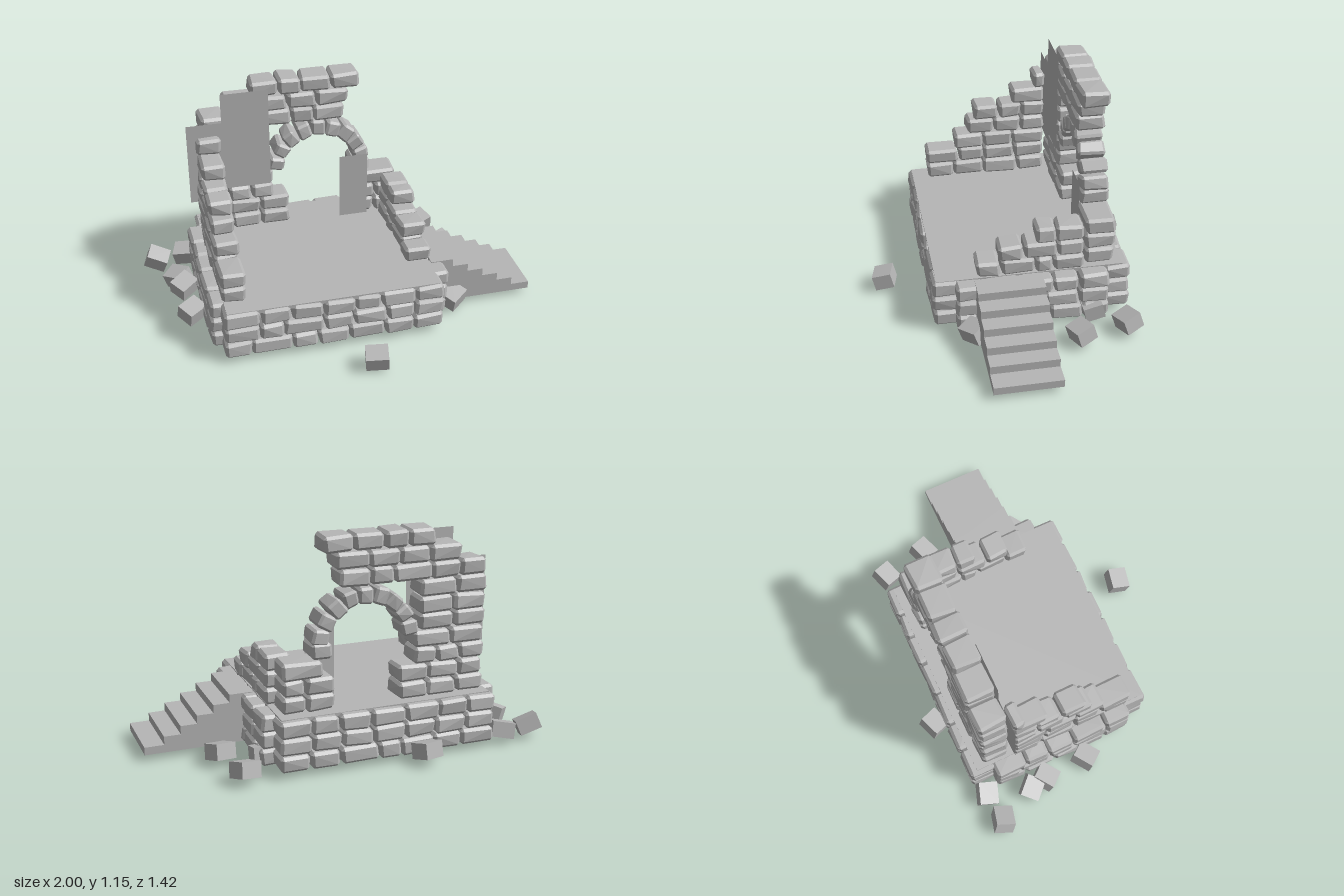
import * as THREE from 'three';
import { ConvexGeometry } from 'three/addons/geometries/ConvexGeometry.js';

const stone = new THREE.MeshStandardMaterial({ color: 0xb6b6b6 });
stone.name = 'greyStone';
const thinStone = new THREE.MeshStandardMaterial({ color: 0xb6b6b6, side: THREE.DoubleSide });
thinStone.name = 'greyStoneThin';

let seed = 7;
const rand = () => (seed = (seed * 16807) % 2147483647) / 2147483647;
const jitter = (a) => (rand() * 2 - 1) * a;

// Rough block with chamfered edges and slightly uneven corners
function blockGeometry(w, h, d, bevel = 0.014) {
  const points = [];
  for (const sx of [-1, 1]) for (const sy of [-1, 1]) for (const sz of [-1, 1]) {
    const x = w / 2 + jitter(0.005), y = h / 2 + jitter(0.003), z = d / 2 + jitter(0.005);
    points.push(
      new THREE.Vector3(sx * x, sy * (y - bevel), sz * (z - bevel)),
      new THREE.Vector3(sx * (x - bevel), sy * y, sz * (z - bevel)),
      new THREE.Vector3(sx * (x - bevel), sy * (y - bevel), sz * z));
  }
  return new ConvexGeometry(points);
}

function addMesh(parent, name, geometry, x = 0, y = 0, z = 0, material = stone) {
  const mesh = new THREE.Mesh(geometry, material);
  mesh.name = name;
  mesh.position.set(x, y, z);
  parent.add(mesh);
  return mesh;
}

// One course of blocks along x or z, with uneven lengths
function course(parent, axis, from, to, across, depth, y, height) {
  const length = to - from;
  const n = Math.max(1, Math.round(length / 0.155));
  const cuts = [from];
  for (let i = 1; i < n; i++) cuts.push(from + (length * i) / n + jitter(0.025));
  cuts.push(to);
  for (let i = 0; i < n; i++) {
    const size = cuts[i + 1] - cuts[i] - 0.007;
    const mid = (cuts[i] + cuts[i + 1]) / 2;
    const d = depth + jitter(0.006);
    const h = height - 0.004;
    const block = axis === 'x'
      ? addMesh(parent, 'stoneBlock', blockGeometry(size, h, d), mid, y + height / 2, across)
      : addMesh(parent, 'stoneBlock', blockGeometry(d, h, size), across, y + height / 2, mid);
    block.rotation.set(jitter(0.02), jitter(0.02), jitter(0.02));
  }
}

function group(parent, name) {
  const g = new THREE.Group();
  g.name = name;
  parent.add(g);
  return g;
}

export function createModel() {
  seed = 7;
  const model = new THREE.Group();
  model.name = 'ruin';

  // Foundation: three courses around an open middle
  const base = group(model, 'foundation');
  for (let i = 0; i < 3; i++) {
    const y = 0.032 + i * 0.0865;
    course(base, 'x', -0.69, 0.45, 0.35, 0.135, y, 0.086);
    course(base, 'x', -0.69, 0.45, -0.52, 0.135, y, 0.086);
    course(base, 'z', -0.47, 0.31, -0.675, 0.135, y, 0.086);
    course(base, 'z', -0.47, 0.31, 0.435, 0.135, y, 0.086);
  }
  addMesh(model, 'floor', new THREE.BoxGeometry(1.1, 0.02, 0.95), -0.12, 0.284, -0.075);

  // Walls
  const H = 0.0855;
  const level = (i) => 0.295 + i * H;

  const left = group(model, 'leftSideWall');
  [0.32, 0.32, 0.16, 0.09, 0.05, -0.16, -0.28].forEach((end, i) =>
    course(left, 'z', -0.345, end, -0.62, 0.125, level(i), H));

  const right = group(model, 'rightSideWall');
  [0.2, 0.09, -0.1].forEach((end, i) =>
    course(right, 'z', -0.345, end, 0.375, 0.13, level(i), H));

  const back = group(model, 'backWall');
  const backSpans = [
    [[-0.66, -0.19], [0.14, 0.41]],
    [[-0.65, -0.19], [0.14, 0.41]],
    [[-0.66, -0.27], [0.2, 0.41]],
    [[-0.65, -0.27], [0.15, 0.26]],
    [[-0.66, -0.3]],
    [[-0.65, -0.3]],
    [[-0.66, -0.3]],
    [[-0.65, 0.12]],
    [[-0.52, 0.14]],
    [[-0.38, 0.2]],
  ];
  backSpans.forEach((spans, i) => spans.forEach(([a, b]) =>
    course(back, 'x', a, b, -0.436, 0.145, level(i), H)));

  // Arch stones fanned over the doorway
  const arch = group(model, 'doorArch');
  for (let i = 0; i < 9; i++) {
    const angle = THREE.MathUtils.degToRad(12 + i * 19.5);
    const voussoir = addMesh(arch, 'archStone', blockGeometry(0.083, 0.074, 0.14, 0.012),
      -0.02 + Math.cos(angle) * 0.235, 0.61 + Math.sin(angle) * 0.235, -0.436);
    voussoir.rotation.z = angle;
  }

  // Flat sheets on the inner face of the back wall
  const sheets = group(model, 'wallSheets');
  for (const [x0, x1, y0, y1] of [
    [-0.54, -0.29, 0.56, 1.11], [-0.725, -0.53, 0.5, 0.95], [0.09, 0.245, 0.295, 0.665]]) {
    addMesh(sheets, 'wallSheet', new THREE.PlaneGeometry(x1 - x0, y1 - y0),
      (x0 + x1) / 2, (y0 + y1) / 2, -0.357, thinStone);
  }

  // Side stairs
  const profile = new THREE.Shape();
  profile.moveTo(0.44, 0.035);
  profile.lineTo(0.44, 0.293);
  [0.56, 0.645, 0.73, 0.815, 0.9, 1].forEach((x, i) => {
    const y = 0.293 - i * 0.0435;
    profile.lineTo(x, y);
    profile.lineTo(x, i < 5 ? y - 0.0435 : 0.035);
  });
  addMesh(model, 'sideStairs',
    new THREE.ExtrudeGeometry(profile, { depth: 0.34, bevelEnabled: false }), 0, 0, -0.13);

  // Fallen blocks: x, z, turn, tilt
  const rubble = group(model, 'fallenBlocks');
  for (const [x, z, turn, tilt] of [
    [-0.92, -0.52, -0.35, -0.4], [-0.76, -0.54, -0.3, 0.15], [-0.29, -0.64, 0.4, 0.1],
    [0.61, -0.54, 0.4, 0.2], [0.66, -0.29, 0.4, 0.15], [-0.83, -0.31, -0.75, 0.2],
    [-0.81, -0.22, 0.7, 0.2], [-0.8, 0.02, 0.65, 0.1], [0.03, 0.63, -0.2, 0.05],
    [0.56, 0.23, 0.7, 0.2], [0.475, -0.39, 0, 0]]) {
    const block = addMesh(rubble, 'fallenBlock', new THREE.BoxGeometry(0.115, 0.08, 0.1), x, 0.072, z);
    block.rotation.set(0.25, turn, tilt, 'YXZ');
  }
  return model;
}
